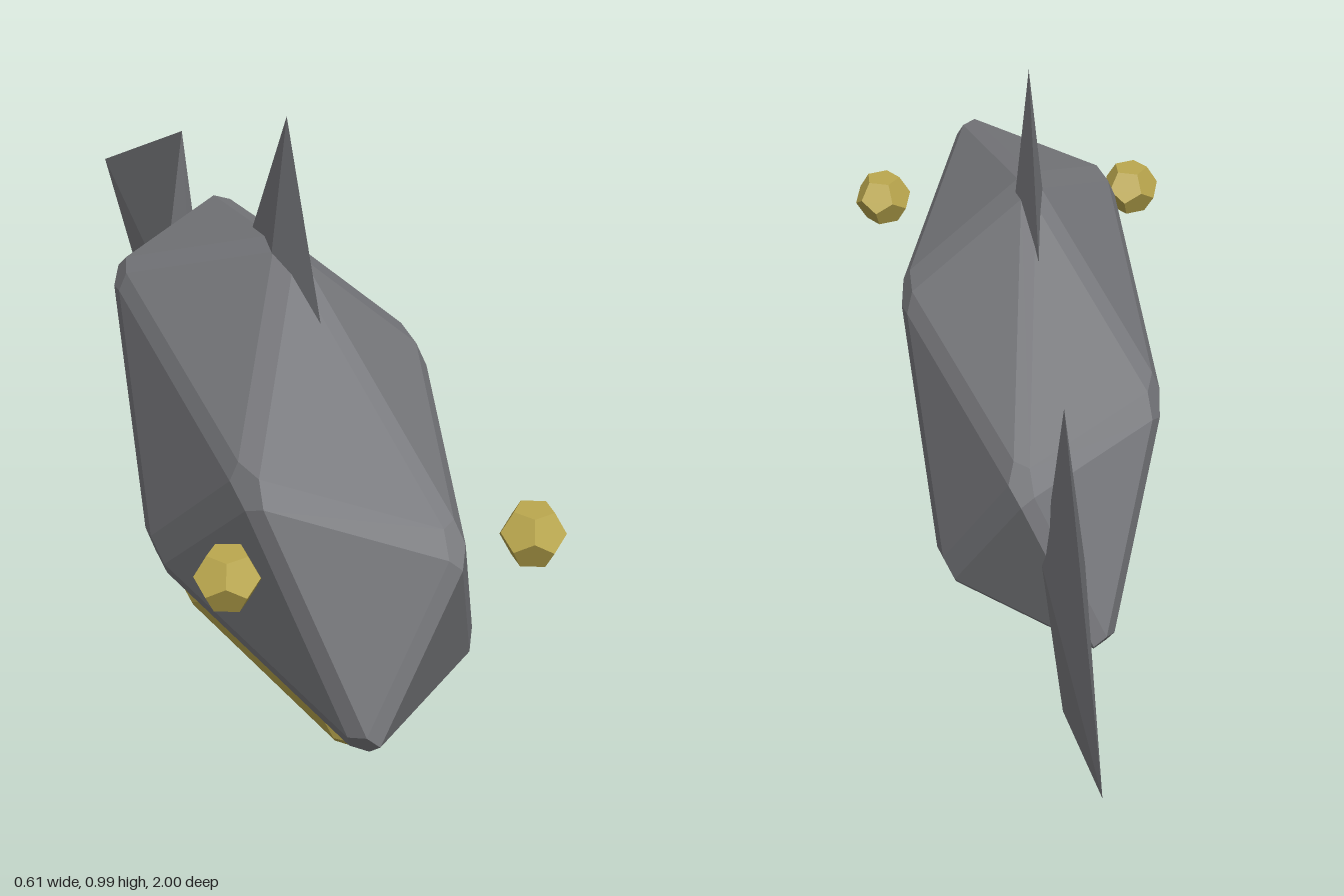
import * as THREE from 'three';
import { ConvexGeometry } from 'three/addons/geometries/ConvexGeometry.js';

// Icosahedron standing on a pole, all edges bevelled, stretched to the given radii
function bevelledIco(rx, ry, rz, bevel) {
  const ring = (y, start) => Array.from({ length: 5 }, (_, i) => {
    const a = start + i * Math.PI * 0.4;
    return new THREE.Vector3(0.8944 * Math.cos(a), y, 0.8944 * Math.sin(a));
  });
  const top = new THREE.Vector3(0, 1, 0), bottom = new THREE.Vector3(0, -1, 0);
  const up = ring(0.4472, 0), low = ring(-0.4472, Math.PI / 5);
  const points = [];
  for (let i = 0; i < 5; i++) {
    const j = (i + 1) % 5;
    const faces = [
      [top, up[i], up[j]], [up[i], up[j], low[i]],
      [low[i], low[j], up[j]], [bottom, low[i], low[j]],
    ];
    // each face shrinks towards its centre; the hull fills the bevels
    for (const f of faces) {
      const c = new THREE.Vector3().add(f[0]).add(f[1]).add(f[2]).divideScalar(3);
      for (const v of f) points.push(v.clone().lerp(c, bevel).multiply(new THREE.Vector3(rx, ry, rz)));
    }
  }
  return new ConvexGeometry(points);
}

export function createModel() {
  const model = new THREE.Group();
  const grey = new THREE.MeshStandardMaterial({ color: 0x7d7e82, flatShading: true });
  grey.name = 'slate grey';
  const yellow = new THREE.MeshStandardMaterial({ color: 0xbba84e, flatShading: true });
  yellow.name = 'mustard yellow';

  const add = (name, geometry, material, x, y, z) => {
    const mesh = new THREE.Mesh(geometry, material);
    mesh.name = name;
    mesh.position.set(x, y, z);
    model.add(mesh);
    return mesh;
  };
  const V = (x, y, z) => new THREE.Vector3(x, y, z);

  // Body and belly
  add('body', bevelledIco(0.272, 0.3975, 0.835, 0.17), grey, 0, 0.3725, 0.305);
  add('belly', bevelledIco(0.213, 0.2265, 0.661, 0.17), yellow, 0, 0.216, 0.31);

  // Back fin: thin four-sided spike
  add('backFin', new ConvexGeometry([
    V(0, 0.325, 0), V(0.033, 0, 0), V(-0.033, 0, 0), V(0, 0, 0.228), V(0, 0, -0.228),
  ]), grey, 0, 0.66, 0.305);

  // Tail fin: tall thin spike pointing back, with a shallow pointed base
  add('tailFin', new ConvexGeometry([
    V(0, 0, -0.63), V(0.037, 0, 0), V(-0.037, 0, 0), V(0, 0.313, 0), V(0, -0.313, 0), V(0, 0, 0.06),
  ]), grey, 0, 0.378, -0.37);

  // Eyes: dodecahedra resting on a flat face
  const eye = new THREE.DodecahedronGeometry(0.0555)
    .rotateX(-Math.atan(2 / (1 + Math.sqrt(5))))
    .rotateY(-Math.PI / 2);
  add('leftEye', eye, yellow, 0.25, 0.457, 0.837);
  add('rightEye', eye, yellow, -0.25, 0.457, 0.837);

  return model;
}
